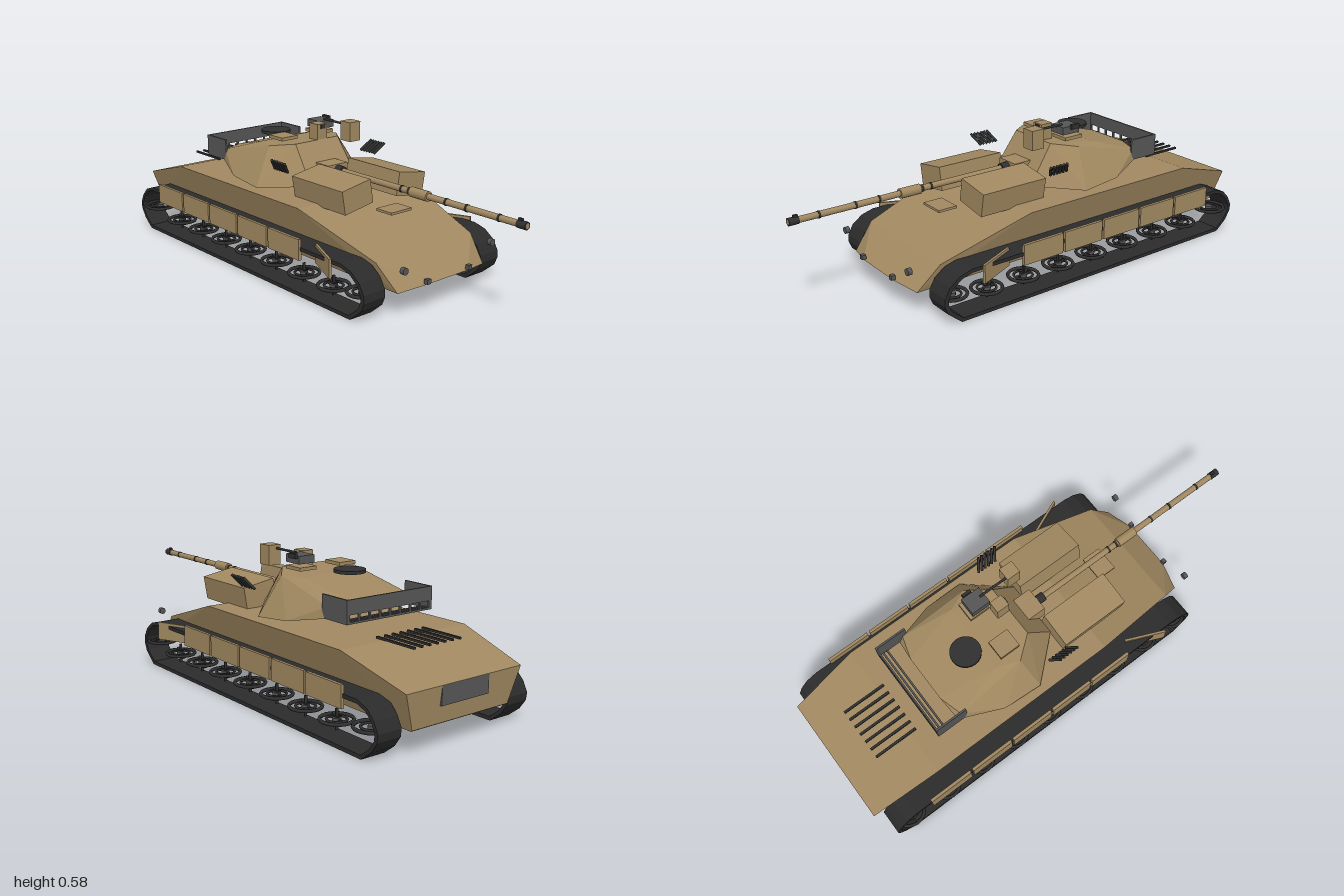
import * as THREE from 'three';
import { ConvexGeometry } from 'three/addons/geometries/ConvexGeometry.js';

const flat = (name, color, side = THREE.FrontSide) => {
  const m = new THREE.MeshStandardMaterial({ color, side });
  m.name = name;
  return m;
};

export function createModel() {
  const model = new THREE.Group();
  model.name = 'tank';
  const tan = flat('desert tan', 0xa08860);
  const rubber = flat('track black', 0x2b2b2b);
  const grey = flat('steel grey', 0x555555);
  const dark = flat('dark metal', 0x303030);

  const add = (name, geo, mat, x = 0, y = 0, z = 0, parent = model) => {
    const mesh = new THREE.Mesh(geo, mat);
    mesh.name = name;
    mesh.position.set(x, y, z);
    parent.add(mesh);
    return mesh;
  };
  // Box given by its minimum and maximum corners
  const box = (name, mat, [x0, y0, z0], [x1, y1, z1], parent = model) =>
    add(name, new THREE.BoxGeometry(x1 - x0, y1 - y0, z1 - z0), mat,
      (x0 + x1) / 2, (y0 + y1) / 2, (z0 + z1) / 2, parent);
  // Cylinder along z
  const rod = (name, mat, r, z0, z1, x, y) =>
    add(name, new THREE.CylinderGeometry(r, r, z1 - z0, 16).rotateX(Math.PI / 2), mat, x, y, (z0 + z1) / 2);
  // Faceted solid from corners mirrored in x
  const solid = (name, mat, pts) => add(name, new ConvexGeometry(pts.flatMap(([x, y, z]) =>
    [new THREE.Vector3(x, y, z), new THREE.Vector3(-x, y, z)])), mat);

  // Hull
  solid('hull', tan, [
    [0.28, 0.238, -1], [0.235, 0.1, -0.985],
    [0.308, 0.325, -0.7], [0.308, 0.325, 0.14],
    [0.26, 0.2, 0.53], [0.235, 0.1, 0.62],
    [0.115, 0.113, 0.65], [0.225, 0.096, 0.58], [0.235, 0.096, -0.98],
  ]);
  box('driverHatch', tan, [-0.055, 0.306, 0.315], [0.055, 0.316, 0.4]);
  box('rearPlate', grey, [-0.115, 0.165, -1], [0.115, 0.237, -0.992]);
  for (let i = 0; i < 7; i++) {
    const x = -0.115 + i * 0.0375;
    box('deckGrille', dark, [x - 0.005, 0.329, -0.86], [x + 0.005, 0.337, -0.67]);
  }

  // Running gear, fenders and lamps on both sides
  const loop = (d) => [
    [0.51, 0], [0.57, 0.05], [0.585, 0.085], [0.583, 0.115], [0.56, 0.155], [0.515, 0.188], [0.46, 0.203],
    [-0.86, 0.203], [-0.91, 0.185], [-0.945, 0.15], [-0.965, 0.11], [-0.962, 0.08], [-0.935, 0.04], [-0.885, 0],
  ].map(([z, y]) => {
    const k = (0.1015 - d) / 0.1015;
    return new THREE.Vector2(z > 0 ? 0.46 + (z - 0.46) * k : -0.86 + (z + 0.86) * k, 0.1015 + (y - 0.1015) * k);
  });
  const trackShape = new THREE.Shape(loop(0));
  trackShape.holes.push(new THREE.Path(loop(0.015)));
  const trackGeo = new THREE.ExtrudeGeometry(trackShape, { depth: 0.105, bevelEnabled: false })
    .translate(0, 0, -0.0525).rotateY(-Math.PI / 2);
  const ring = (r, t) => new THREE.TorusGeometry(r, t, 6, 20).rotateX(Math.PI / 2);

  for (const s of [1, -1]) {
    add('track', trackGeo, rubber, s * 0.3155, 0, 0);

    const wheel = (name, z, y, r) => {
      const g = new THREE.Group();
      g.name = name;
      g.position.set(s * 0.315, y, z);
      model.add(g);
      add('rim', ring(r - 0.007, 0.007), dark, 0, 0, 0, g);
      add('innerRing', ring(r * 0.55, 0.005), dark, 0, 0, 0, g);
      add('hub', new THREE.CylinderGeometry(0.016, 0.016, 0.012, 12), grey, 0, 0, 0, g);
      return g;
    };
    for (let i = 0; i < 7; i++) {
      const g = wheel('roadWheel', 0.36 - i * 0.176, 0.077, 0.068);
      for (let k = 0; k < 4; k++) {
        add('spoke', new THREE.BoxGeometry(0.012, 0.004, k % 2 ? 0.06 : 0.08), dark, 0, 0, 0, g)
          .rotation.x = k * Math.PI / 4;
      }
    }
    wheel('idler', 0.52, 0.1, 0.066);
    wheel('sprocket', -0.88, 0.103, 0.073);

    for (let i = 0; i < 5; i++) {
      add('sideSkirt', new THREE.BoxGeometry(0.013, 0.085, 0.194), tan, s * 0.368, 0.1925, 0.128 - i * 0.2045);
    }
    add('frontFender', new THREE.BoxGeometry(0.01, 0.076, 0.18), tan, s * 0.349, 0.176, 0.338)
      .rotation.y = s * 0.41;

    rod('headlight', grey, 0.014, 0.645, 0.663, s * 0.238, 0.199);
    add('towPoint', new THREE.BoxGeometry(0.019, 0.019, 0.018), grey, s * 0.113, 0.127, 0.653);
  }

  // Turret
  solid('turret', tan, [
    [0.125, 0.347, 0], [0.1, 0.335, -0.05], [0.277, 0.335, -0.17], [0.27, 0.35, -0.34], [0.2, 0.385, -0.52],
    [0.115, 0.505, -0.11], [0.186, 0.493, -0.2], [0.15, 0.493, -0.29], [0.2, 0.425, -0.5], [0.1, 0.43, -0.53],
  ]);
  box('mantlet', tan, [-0.052, 0.35, -0.06], [0.052, 0.427, 0.025]);

  for (const s of [1, -1]) {
    add('cheekArmour', new THREE.BoxGeometry(0.147, 0.098, 0.305), tan, s * 0.144, 0.376, 0.153)
      .rotation.z = -s * 0.17;

    // Smoke launcher bank
    const aim = new THREE.Vector3(s * 0.04, 0.05, 0.03).normalize();
    for (let i = 0; i < 6; i++) {
      add('smokeTube', new THREE.CylinderGeometry(0.006, 0.006, 0.066, 8), dark, s * 0.255, 0.449, -0.08 + i * 0.0165)
        .quaternion.setFromUnitVectors(new THREE.Vector3(0, 1, 0), aim);
    }

    add('roofHatch', new THREE.BoxGeometry(0.082, 0.014, 0.09), tan, s * 0.099, 0.517, -0.213);
    add('rackSide', new THREE.BoxGeometry(0.008, 0.09, 0.14), grey, s * 0.206, 0.426, -0.55);
  }

  // Bustle rack
  box('rackBack', grey, [-0.21, 0.415, -0.62], [0.21, 0.471, -0.613]);
  for (const z of [-0.616, -0.598, -0.58]) {
    box('rackRail', grey, [-0.21, 0.381, z - 0.004], [0.21, 0.389, z + 0.004]);
  }
  for (let i = 0; i < 9; i++) {
    const x = -0.2 + i * 0.05;
    box('rackPost', grey, [x - 0.004, 0.385, -0.62], [x + 0.004, 0.42, -0.613]);
  }

  // Gun
  const gunY = 0.403;
  rod('barrel', tan, 0.0125, 0.02, 0.965, 0, gunY);
  rod('barrelBase', dark, 0.02, 0.02, 0.06, 0, gunY);
  rod('boreEvacuator', tan, 0.02, 0.45, 0.54, 0, gunY);
  for (const z of [0.4, 0.44, 0.63, 0.73, 0.88]) rod('barrelBand', dark, 0.0145, z - 0.004, z + 0.004, 0, gunY);
  rod('muzzle', dark, 0.015, 0.96, 1, 0, gunY);
  rod('bore', tan, 0.01, 0.99, 1.0005, 0, gunY);
  box('muzzleSight', dark, [-0.005, 0.414, 0.962], [0.005, 0.425, 0.98]);

  // Roof equipment
  add('roundHatch', new THREE.CylinderGeometry(0.063, 0.063, 0.013, 24), dark, -0.032, 0.51, -0.35);
  box('gunnerSight', tan, [0.004, 0.495, -0.165], [0.056, 0.57, -0.11]);
  box('sightLens', dark, [0.019, 0.55, -0.11], [0.043, 0.567, -0.106]);
  box('commanderSight', tan, [0.084, 0.503, -0.055], [0.141, 0.585, 0.005]);
  box('machineGunBody', grey, [0.06, 0.535, -0.245], [0.135, 0.567, -0.16]);
  rod('machineGunBarrel', dark, 0.005, -0.18, -0.045, 0.1, 0.57);
  box('ammoBox', dark, [0.135, 0.556, -0.235], [0.148, 0.576, -0.195]);

  return model;
}
